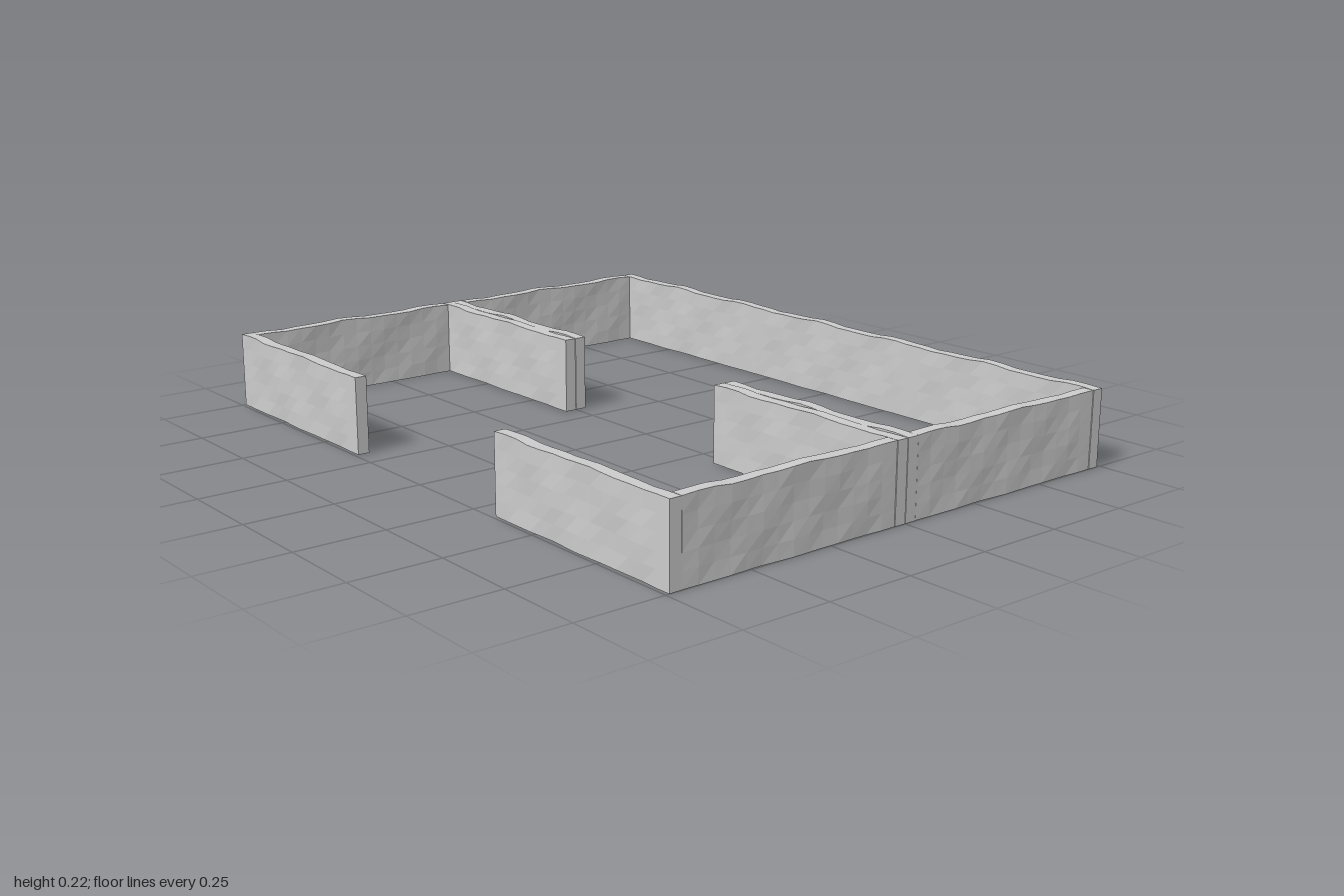
import * as THREE from 'three';

const LENGTH = 0.667, HEIGHT = 0.217, THICK = 0.034;

// One rough-hewn wall panel, length along x, standing on y = 0
function panelGeometry() {
  const geo = new THREE.BoxGeometry(LENGTH, HEIGHT, THICK, 14, 5, 1);
  geo.translate(0, HEIGHT / 2, 0);
  const pos = geo.attributes.position;
  for (let i = 0; i < pos.count; i++) {
    const x = pos.getX(i), y = pos.getY(i), side = Math.sign(pos.getZ(i));
    // Ends stay straight so neighbouring panels meet cleanly
    const fade = Math.min(1, (LENGTH / 2 - Math.abs(x)) / 0.06);
    const wave = Math.sin(x * 21 + y * 24 + side) + 0.7 * Math.sin(x * 37 - y * 31 + side * 2);
    pos.setZ(i, pos.getZ(i) + side * fade * 0.0018 * wave);
    // Uneven upper edge, level base
    const dip = Math.sin(x * 19 + 0.8) + 0.5 * Math.sin(x * 43);
    pos.setY(i, y + 0.0025 * dip * fade * (y / HEIGHT) ** 2);
  }
  geo.computeVertexNormals();
  return geo;
}

export function createModel() {
  const group = new THREE.Group();
  const geometry = panelGeometry();
  const material = new THREE.MeshStandardMaterial({ color: 0xcccccc, flatShading: true });

  const addPanel = (name, x, z, turn = 0) => {
    const mesh = new THREE.Mesh(geometry, material);
    mesh.name = name;
    mesh.position.set(x, 0, z);
    mesh.rotation.y = turn;
    group.add(mesh);
  };

  const outerZ = 0.722, innerZ = 0.018, sideX = 0.981;

  // Unbroken back wall of three panels
  for (const i of [-1, 0, 1]) addPanel('backWall', i * 0.6655, -outerZ, Math.PI);

  for (const s of [-1, 1]) {
    const label = s > 0 ? 'left' : 'right';
    // Front wall with a wide central opening
    addPanel(label + 'FrontWall', s * 0.6655, outerZ);
    // Doubled partition between the two rooms
    addPanel(label + 'PartitionFront', s * 0.6655, innerZ);
    addPanel(label + 'PartitionBack', s * 0.6655, -innerZ, Math.PI);
    // Side walls fitted between the cross walls
    for (const z of [-0.37, 0.37]) addPanel(label + 'SideWall', s * sideX, z, s * Math.PI / 2);
  }
  return group;
}
